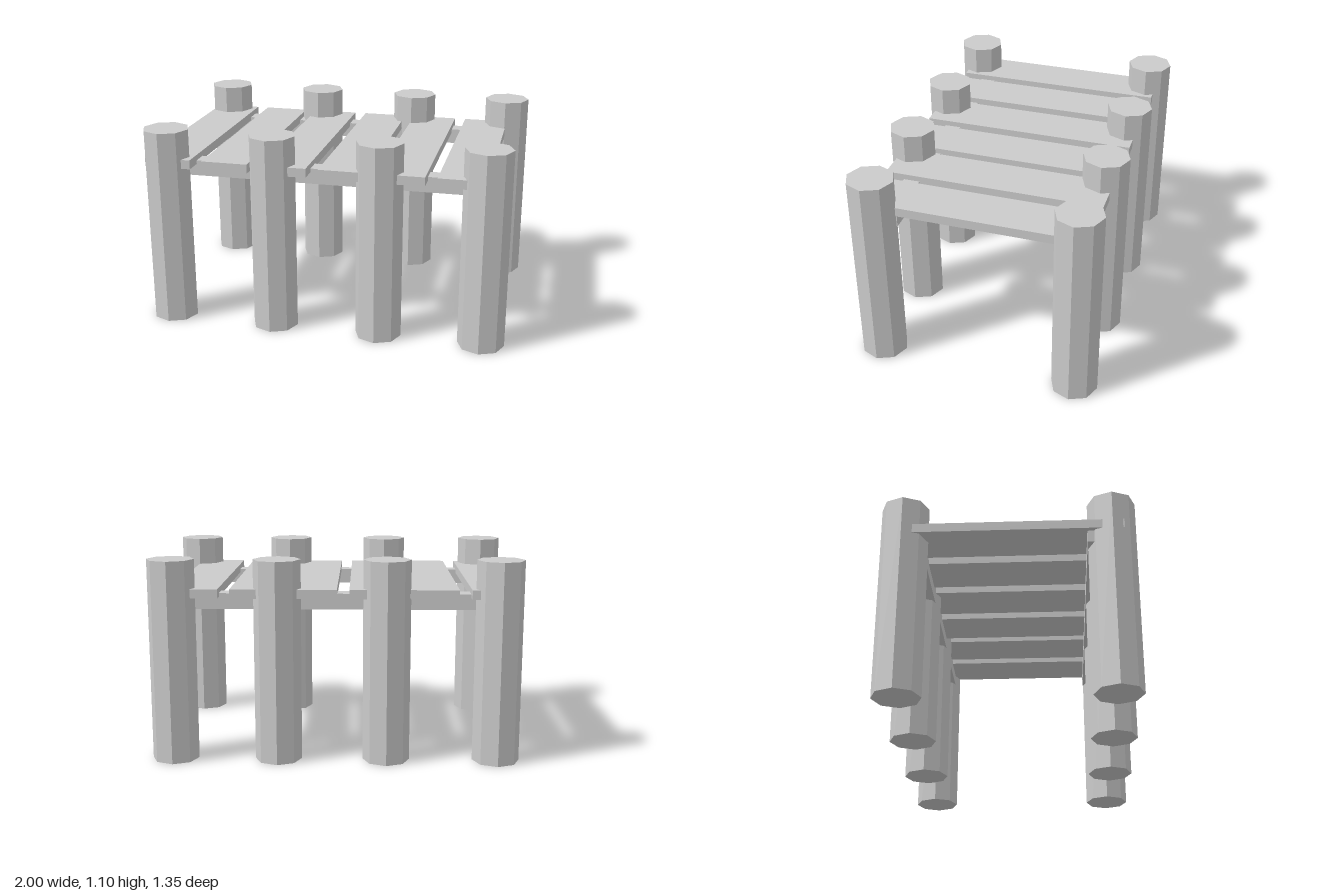
import * as THREE from 'three';

const material = new THREE.MeshStandardMaterial({ color: 0xcccccc, flatShading: true });

// Box given by its limits on each axis
function addBox(parent, name, [x0, x1], [y0, y1], [z0, z1]) {
  const mesh = new THREE.Mesh(new THREE.BoxGeometry(x1 - x0, y1 - y0, z1 - z0), material);
  mesh.position.set((x0 + x1) / 2, (y0 + y1) / 2, (z0 + z1) / 2);
  mesh.name = name;
  parent.add(mesh);
}

export function createModel() {
  const dock = new THREE.Group();
  dock.name = 'dock';

  // Two rows of octagonal posts
  const postHeight = 1.095;
  const postGeometry = new THREE.CylinderGeometry(0.127, 0.127, postHeight, 8);
  for (const z of [-0.548, 0.546]) {
    for (const x of [-0.873, -0.277, 0.308, 0.872]) {
      const post = new THREE.Mesh(postGeometry, material);
      post.position.set(x, postHeight / 2, z);
      post.name = z > 0 ? 'frontPost' : 'backPost';
      dock.add(post);
    }
  }

  // Long beams tying each row of posts together
  addBox(dock, 'frontBeam', [-0.95, 0.87], [0.825, 0.91], [0.415, 0.505]);
  addBox(dock, 'backBeam', [-0.93, 0.87], [0.825, 0.91], [-0.535, -0.445]);

  // Deck planks, unevenly spaced and let into the beams
  for (const x of [-0.85, -0.528, -0.205, 0.117, 0.428, 0.747]) {
    addBox(dock, 'plank', [x - 0.128, x + 0.128], [0.89, 0.94], [-0.595, 0.608]);
  }

  return dock;
}
